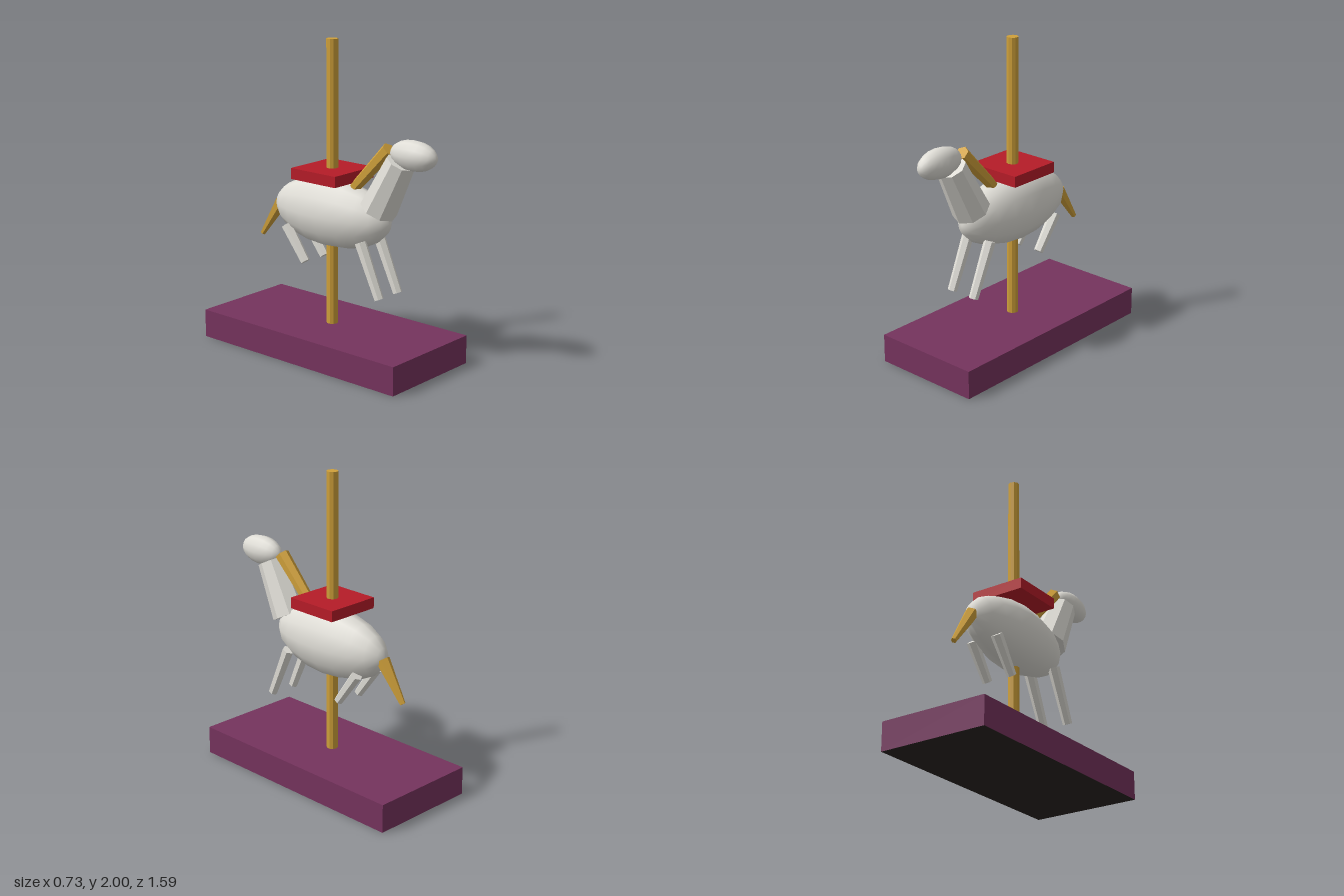
import * as THREE from 'three';

const material = (name, color) => {
  const m = new THREE.MeshStandardMaterial({ color });
  m.name = name;
  return m;
};

export function createModel() {
  const white = material('ivory white', 0xdfddd6);
  const gold = material('gold', 0xcfa03a);
  const red = material('saddle red', 0xb61c28);
  const purple = material('platform purple', 0x75335d);
  const black = material('underside black', 0x2a2421);

  const model = new THREE.Group();
  model.name = 'carouselHorse';

  const add = (name, geometry, mat, x, y, z) => {
    const mesh = new THREE.Mesh(geometry, mat);
    mesh.name = name;
    mesh.position.set(x, y, z);
    model.add(mesh);
    return mesh;
  };

  // Tapered faceted limb between two [y, z] points, in the plane at x
  const limb = (name, mat, x, top, bottom, rTop, rBottom, sides) => {
    const a = new THREE.Vector3(x, ...top);
    const b = new THREE.Vector3(x, ...bottom);
    const dir = a.clone().sub(b);
    const geometry = new THREE.CylinderGeometry(rTop, rBottom, dir.length(), sides).toNonIndexed();
    geometry.computeVertexNormals();
    const mid = a.add(b).multiplyScalar(0.5);
    const mesh = add(name, geometry, mat, mid.x, mid.y, mid.z);
    mesh.rotation.x = Math.atan2(dir.z, dir.y);
    return mesh;
  };

  // Smooth ellipsoid with its poles at the front and back
  const ellipsoid = (name, rx, ry, rz, y, z) => {
    const geometry = new THREE.SphereGeometry(1, 12, 10);
    geometry.rotateX(Math.PI / 2);
    geometry.scale(rx, ry, rz);
    return add(name, geometry, white, 0, y, z);
  };

  // Platform with a black underside (box faces: +x, -x, +y, -y, +z, -z)
  add('platform', new THREE.BoxGeometry(0.725, 0.183, 1.577),
    [purple, purple, purple, black, purple, purple], 0, 0.0915, -0.008);

  // Pole
  limb('pole', gold, 0, [2, -0.01], [0.17, -0.01], 0.037, 0.037, 10);

  // Body, neck and head
  ellipsoid('body', 0.172, 0.222, 0.455, 0.91, -0.008);
  limb('neck', white, 0, [1.315, 0.535], [0.992, 0.364], 0.094, 0.12, 8);
  ellipsoid('head', 0.08, 0.095, 0.168, 1.365, 0.628);

  // Saddle
  add('saddle', new THREE.BoxGeometry(0.365, 0.07, 0.36), red, 0, 1.162, -0.01);

  // Mane and tail
  limb('mane', gold, 0, [1.378, 0.442], [1.1, 0.175], 0.046, 0.036, 6);
  limb('tail', gold, 0, [0.905, -0.443], [0.664, -0.613], 0.045, 0.018, 6);

  // Legs, mirrored left and right
  for (const [side, x] of [['left', 0.09], ['right', -0.09]]) {
    limb(side + 'FrontLeg', white, x, [0.79, 0.297], [0.456, 0.447], 0.038, 0.03, 6);
    limb(side + 'BackLeg', white, x, [0.792, -0.313], [0.578, -0.157], 0.038, 0.03, 6);
  }

  return model;
}
